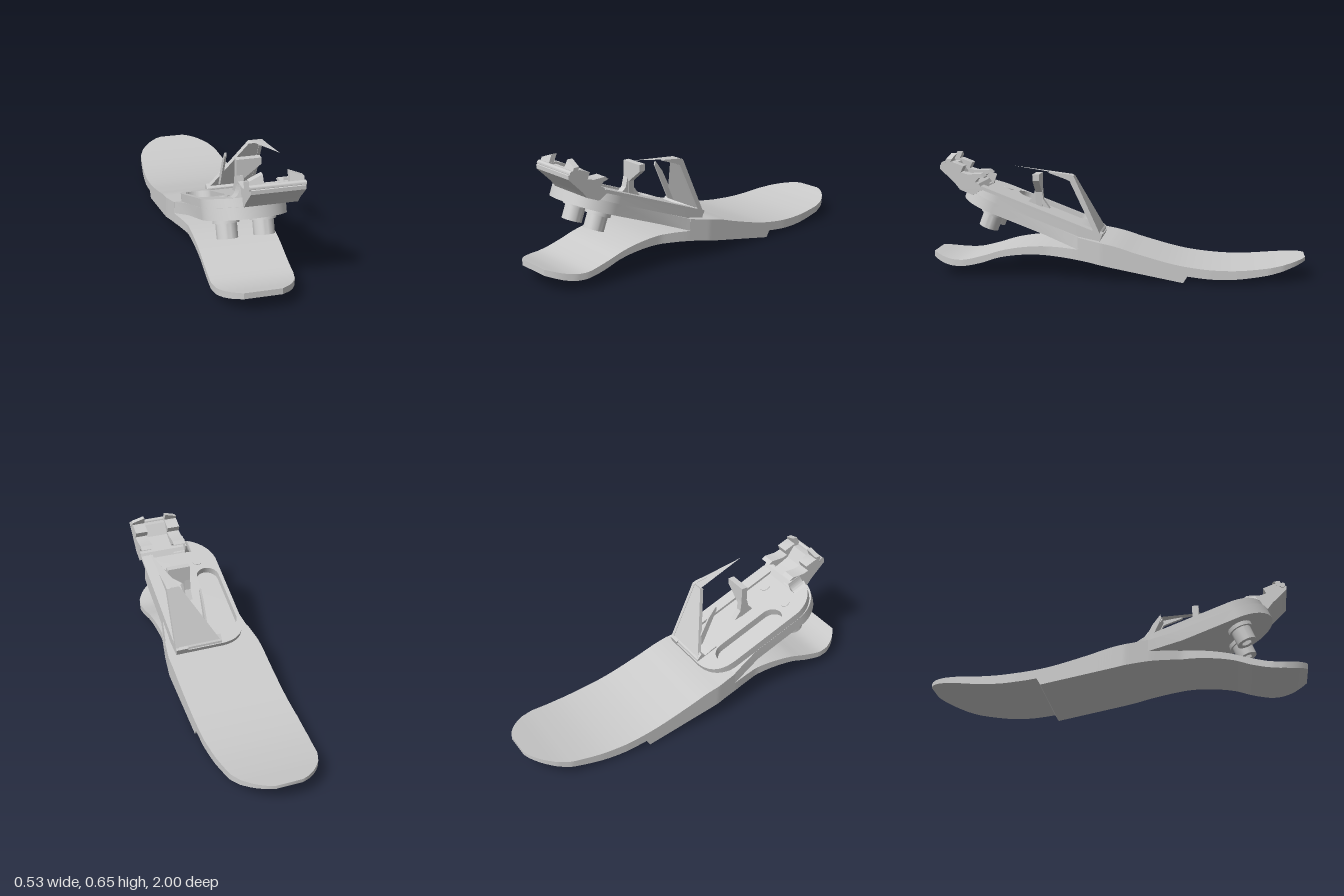
import * as THREE from 'three';
import { toCreasedNormals } from 'three/addons/utils/BufferGeometryUtils.js';

const material = new THREE.MeshStandardMaterial({ color: 0xcccccc, side: THREE.DoubleSide });
const TILT = 0.368;

function add(parent, name, geometry) {
  const mesh = new THREE.Mesh(toCreasedNormals(geometry, 0.5), material);
  mesh.name = name;
  parent.add(mesh);
  return mesh;
}

const shapeOf = pts => new THREE.Shape(pts.map(p => new THREE.Vector2(...p)));
const extrude = (shape, depth) =>
  new THREE.ExtrudeGeometry(shape, { depth, bevelEnabled: false, curveSegments: 20 });

// Side profile of (z, y) points, extruded from x0 to x1
const sideways = (pts, x0, x1) =>
  extrude(shapeOf(pts), x1 - x0).rotateY(-Math.PI / 2).translate(x1, 0, 0);

// Plan shape drawn as (x, -forward), extruded upwards from n0 to n1
const slab = (shape, n0, n1) =>
  extrude(shape, n1 - n0).rotateX(-Math.PI / 2).translate(0, n0, 0);

// Interpolated lookup through [position, value] pairs
function lookup(pairs, Kind) {
  const interpolant = new Kind(pairs.map(p => p[0]), pairs.map(p => p[1]), 1, [0]);
  return z => interpolant.evaluate(z)[0];
}

// Curved sole: rectangular sections along z, in three runs (heel, arch, toe)
function soleGeometry() {
  const width = lookup([[-1, .07], [-.985, .105], [-.96, .14], [-.93, .17], [-.88, .207], [-.81, .235],
    [-.65, .254], [-.5, .264], [.07, .264], [.2, .245], [.36, .211], [.82, .207], [.88, .195],
    [.93, .168], [.97, .135], [1, .095]], THREE.LinearInterpolant);
  const heelTop = lookup([[-1, .115], [-.82, .083], [-.6, .067], [-.364, .088], [-.13, .147],
    [0, .187], [.1, .208], [.19, .227]], THREE.CubicInterpolant);
  const toeTop = lookup([[.19, .163], [.3, .17], [.45, .168], [.6, .145], [.7, .115], [.82, .088],
    [.9, .092], [1, .115]], THREE.CubicInterpolant);
  const heelBottom = lookup([[-1, .095], [-.82, .047], [-.6, .02], [-.48, .024], [-.385, .035]],
    THREE.CubicInterpolant);
  const frontBottom = lookup([[-.364, 0], [0, .07], [.19, .107], [.35, .122], [.46, .125], [.62, .105],
    [.72, .073], [.83, .053], [.92, .06], [1, .083]], THREE.CubicInterpolant);

  const runs = [[-1, -.385, heelTop, heelBottom], [-.364, .19, heelTop, frontBottom],
    [.191, 1, toeTop, frontBottom]];
  const position = [], index = [];
  for (const [z0, z1, top, bottom] of runs) {
    for (let i = 0; i <= 40; i++) {
      const z = z0 + (z1 - z0) * i / 40, w = width(z), t = top(z), b = bottom(z);
      position.push(-w, t, z, w, t, z, w, b, z, -w, b, z);
    }
  }
  const count = position.length / 12;
  for (let i = 0; i < count - 1; i++) {
    for (let j = 0; j < 4; j++) {
      const a = i * 4 + j, b = i * 4 + (j + 1) % 4;
      index.push(a, a + 4, b + 4, a, b + 4, b);
    }
  }
  const e = (count - 1) * 4;
  index.push(0, 1, 2, 0, 2, 3, e, e + 2, e + 1, e, e + 3, e + 2);
  const geometry = new THREE.BufferGeometry();
  geometry.setAttribute('position', new THREE.Float32BufferAttribute(position, 3));
  geometry.setIndex(index);
  return geometry;
}

// Tilted mounting plate, slotted top layer and bolts
function buildMount() {
  const mount = new THREE.Group();
  mount.name = 'mount';
  mount.position.set(0, .163, .19);
  mount.rotation.x = -TILT;

  const plate = new THREE.Shape();
  plate.moveTo(-.247, 0);
  plate.lineTo(-.211, -.19);
  plate.lineTo(-.211, -.5);
  plate.absellipse(0, -.5, .211, .197, Math.PI, Math.PI * 2);
  plate.lineTo(.211, -.19);
  plate.lineTo(.247, 0);
  add(mount, 'forkPlate', slab(plate, 0, .06));

  const layer = new THREE.Shape();
  layer.moveTo(.216, .09);
  layer.lineTo(-.06, .09);
  layer.quadraticCurveTo(-.21, .08, -.21, -.07);
  layer.lineTo(-.21, -.49);
  layer.absellipse(.003, -.49, .213, .195, Math.PI, Math.PI * 2);
  layer.lineTo(.216, .09);
  const slot = new THREE.Path();
  slot.absarc(-.122, -.073, .066, 0, Math.PI);
  slot.absarc(-.122, -.38, .066, Math.PI, Math.PI * 2);
  slot.closePath();
  layer.holes.push(slot);
  add(mount, 'slottedLayer', slab(layer, .06, .103));

  // Low rail along one edge
  const rail = shapeOf([[.15, .09], [.15, -.6], [.218, -.6], [.218, .09]]);
  add(mount, 'edgeRail', slab(rail, .1, .117));

  // Concave fillet beside the toe bracket
  const fillet = new THREE.Shape();
  fillet.moveTo(-.045, .1);
  fillet.lineTo(-.1, .1);
  fillet.quadraticCurveTo(-.053, .105, -.05, .16);
  fillet.lineTo(-.045, .16);
  add(mount, 'bracketFillet', extrude(fillet, .08).translate(0, 0, .585));

  for (const x of [-.093, .093]) {
    const bolt = new THREE.Group();
    bolt.name = 'bolt';
    bolt.position.set(x, 0, .505);
    mount.add(bolt);
    add(bolt, 'washer', new THREE.CylinderGeometry(.066, .066, .022, 36).translate(0, -.013, 0));
    const head = new THREE.Shape().absarc(0, 0, .053, 0, Math.PI * 2);
    const hex = [0, 1, 2, 3, 4, 5].map(i => new THREE.Vector2(
      .029 * Math.cos(i * Math.PI / 3), .029 * Math.sin(i * Math.PI / 3)));
    head.holes.push(new THREE.Path(hex));
    add(bolt, 'socketHead', slab(head, -.1, -.02));
    add(bolt, 'socketFloor', new THREE.CylinderGeometry(.03, .03, .02, 6).translate(0, -.06, 0));
    add(bolt, 'boltEnd', new THREE.CylinderGeometry(.028, .028, .02, 24).translate(0, .096, 0));
  }
  return mount;
}

// Toe bracket: solid base, two horned and hooked cheeks, cross pin
function buildToeBracket() {
  const bracket = new THREE.Group();
  bracket.name = 'toeBracket';
  add(bracket, 'bracketBase', sideways([[.82, .468], [.845, .5], [.925, .578], [.925, .598], [.9, .604],
    [.86, .604], [.82, .545], [.78, .525], [.72, .5], [.7, .47], [.75, .44]], -.047, .218));
  const cheek = [[.82, .47], [.845, .5], [.92, .59], [.9, .612], [.86, .615], [.8, .592], [.815, .56],
    [.78, .55], [.71, .552], [.69, .537], [.72, .53], [.737, .512], [.73, .492], [.7, .478], [.75, .45]];
  for (const [x0, x1] of [[-.047, .025], [.148, .218]]) {
    add(bracket, 'hookedCheek', sideways(cheek, x0, x1));
  }
  // Horns rise towards the central notch
  for (const side of [-1, 1]) {
    const horn = shapeOf([[.061, .595], [.133, .595], [.133, .63], [.064, .655]]
      .map(([x, y]) => [.0855 + side * x, y]));
    const geometry = extrude(horn, .03);
    const p = geometry.attributes.position;
    for (let i = 0; i < p.count; i++) p.setZ(i, p.getZ(i) + .875 - (p.getY(i) - .6) * .45);
    add(bracket, 'horn', geometry);
  }
  add(bracket, 'crossPin', new THREE.CylinderGeometry(.014, .014, .274, 16)
    .rotateZ(Math.PI / 2).translate(.0855, .603, .905));
  return bracket;
}

// Heel bracket: tapering back panel, side legs, upright and pointed flap
function buildHeelBracket() {
  const bracket = new THREE.Group();
  bracket.name = 'heelBracket';
  const panel = shapeOf([[-.05, 0], [.218, 0], [.218, .345], [.145, .345]]);
  add(bracket, 'backPanel', extrude(panel, .022).rotateX(Math.atan2(.145, .32)).translate(0, .233, .075));
  add(bracket, 'panelFoot', sideways([[.085, .21], [.073, .222], [.075, .24], [.1, .27], [.125, .25],
    [.16, .27], [.2, .285], [.2, .22]], -.05, .218));
  add(bracket, 'outerLeg', sideways([[.078, .245], [.215, .548], [.235, .555], [.345, .568], [.345, .562],
    [.255, .53], [.235, .52], [.115, .265], [.12, .25]], .2, .218));
  add(bracket, 'innerLeg', sideways([[.1, .26], [.19, .44], [.235, .5], [.24, .48], [.15, .28]], .015, .025));

  const upright = shapeOf([[.02, .35], [.055, .35], [.06, .44], [.15, .51], [.15, .545], [.02, .545]]);
  add(bracket, 'upright', extrude(upright, .035).translate(0, 0, .41));
  add(bracket, 'uprightFoot', sideways([[.49, .385], [.46, .41], [.447, .46], [.41, .46], [.405, .4],
    [.37, .35]], .02, .055));

  const flap = new THREE.BufferGeometry();
  flap.setAttribute('position', new THREE.Float32BufferAttribute(
    [.145, .55, .22, .218, .55, .22, .216, .6, .535], 3));
  flap.computeVertexNormals();
  add(bracket, 'pointedFlap', flap);
  return bracket;
}

export function createModel() {
  const model = new THREE.Group();
  model.name = 'footBlade';
  add(model, 'sole', soleGeometry());
  model.add(buildMount(), buildToeBracket(), buildHeelBracket());
  return model;
}
